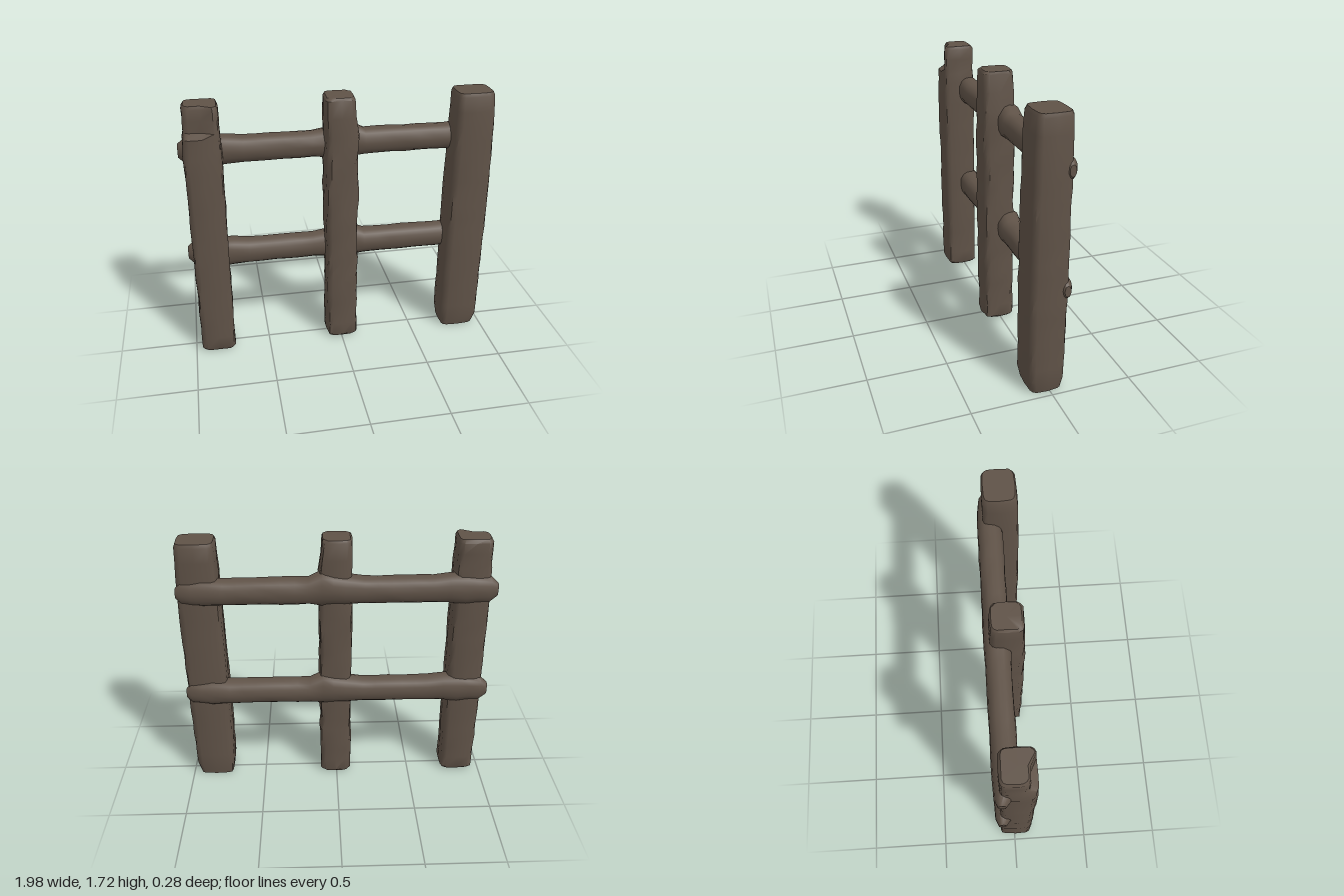
import * as THREE from 'three';
import { toCreasedNormals } from 'three/addons/utils/BufferGeometryUtils.js';

const SIDES = 16;

// Seeded random numbers for the hewn, lumpy surface
function seeded(seed) {
  let s = seed;
  return () => {
    s = (s * 16807) % 2147483647;
    return s / 2147483647;
  };
}

// Adds evenly spaced rings between the given ones: [t, centreU, centreV, halfU, halfV]
function refine(rings, step) {
  const out = [];
  for (let i = 0; i < rings.length - 1; i++) {
    const a = rings[i], b = rings[i + 1];
    const n = Math.max(1, Math.round((b[0] - a[0]) / step));
    for (let k = 0; k < n; k++) out.push(a.map((v, j) => v + (b[j] - v) * (k / n)));
  }
  out.push(rings[rings.length - 1]);
  return out;
}

// Rough log lofted through superellipse rings; place(u, v, t) gives x, y, z
function log(name, material, rings, { power, rough, seed, place }) {
  const rand = seeded(seed);
  const all = refine(rings, 0.085);
  const pos = [], index = [];
  const shape = (c) => Math.sign(c) * Math.pow(Math.abs(c), 2 / power);
  for (const [t, cu, cv, hu, hv] of all) {
    for (let j = 0; j < SIDES; j++) {
      const a = (j / SIDES) * Math.PI * 2;
      const r = 1 - rand() * rough;
      pos.push(...place(cu + hu * r * shape(Math.cos(a)), cv + hv * r * shape(Math.sin(a)), t));
    }
  }
  const last = (all.length - 1) * SIDES;
  const ends = [all[0], all[all.length - 1]];
  for (const [t, cu, cv] of ends) pos.push(...place(cu, cv, t));
  const c0 = all.length * SIDES, c1 = c0 + 1;
  for (let j = 0; j < SIDES; j++) {
    const k = (j + 1) % SIDES;
    for (let i = 0; i < last; i += SIDES) {
      index.push(i + j, i + SIDES + j, i + k, i + k, i + SIDES + j, i + SIDES + k);
    }
    index.push(c0, j, k, c1, last + k, last + j);
  }
  const geo = new THREE.BufferGeometry();
  geo.setAttribute('position', new THREE.Float32BufferAttribute(pos, 3));
  geo.setIndex(index);
  const mesh = new THREE.Mesh(toCreasedNormals(geo, 0.75), material);
  mesh.name = name;
  return mesh;
}

export function createModel() {
  const group = new THREE.Group();
  group.name = 'fence';
  const wood = new THREE.MeshStandardMaterial({ color: 0x5f5247 });
  wood.name = 'weathered wood';

  const upright = (x, y, z) => [x, z, y];
  // Chipped front corner at the top of the right post
  const chipped = (x, y, z) => {
    const cut = z > 1.54 && y > 0.02 && x < -0.83;
    return [x, z, cut ? y - 0.04 : y];
  };

  // Upright posts, squared with worn ends
  group.add(log('rightPost', wood, [
    [0.01, -0.845, 0.01, 0.1, 0.095],
    [0.03, -0.847, 0.01, 0.116, 0.112],
    [0.7, -0.847, 0.01, 0.118, 0.115],
    [1.4, -0.845, 0.01, 0.122, 0.115],
    [1.53, -0.842, 0.01, 0.116, 0.112],
    [1.56, -0.842, 0.01, 0.112, 0.11],
    [1.7, -0.84, 0.008, 0.11, 0.108],
    [1.72, -0.84, 0.008, 0.1, 0.095],
  ], { power: 5, rough: 0.05, seed: 11, place: chipped }));

  group.add(log('middlePost', wood, [
    [0.01, 0.005, 0.005, 0.09, 0.09],
    [0.03, 0.007, 0.005, 0.109, 0.108],
    [0.7, 0.007, 0.005, 0.112, 0.11],
    [1.3, 0.006, 0.005, 0.112, 0.11],
    [1.48, 0.008, 0.005, 0.11, 0.11],
    [1.6, 0, 0.002, 0.101, 0.106],
    [1.71, -0.004, 0, 0.096, 0.104],
    [1.725, -0.004, 0, 0.088, 0.09],
  ], { power: 4.5, rough: 0.1, seed: 29, place: upright }));

  group.add(log('leftPost', wood, [
    [0.01, 0.84, 0.015, 0.118, 0.1],
    [0.09, 0.844, 0.017, 0.134, 0.116],
    [0.6, 0.847, 0.018, 0.137, 0.12],
    [1.3, 0.853, 0.015, 0.135, 0.117],
    [1.5, 0.853, 0.013, 0.131, 0.116],
    [1.69, 0.85, 0.008, 0.123, 0.11],
    [1.712, 0.85, 0.008, 0.114, 0.098],
  ], { power: 5, rough: 0.04, seed: 47, place: upright }));

  // Round rails set into the backs of the posts, swelling at the joints
  const along = (u, v, t) => [t, v, u];
  [['upperRail', 1.397, 5], ['lowerRail', 0.68, 83]].forEach(([name, y, seed]) => {
    group.add(log(name, wood, [
      [-0.995, -0.085, y, 0.025, 0.045],
      [-0.95, -0.075, y, 0.055, 0.085],
      [-0.8, -0.057, y, 0.08, 0.105],
      [-0.7, -0.057, y + 0.005, 0.08, 0.096],
      [-0.6, -0.057, y, 0.08, 0.087],
      [-0.17, -0.057, y, 0.08, 0.086],
      [-0.05, -0.055, y + 0.005, 0.084, 0.1],
      [0.09, -0.055, y + 0.015, 0.084, 0.115],
      [0.17, -0.057, y, 0.08, 0.088],
      [0.7, -0.057, y - 0.003, 0.081, 0.086],
      [0.82, -0.062, y, 0.074, 0.092],
      [0.95, -0.075, y, 0.045, 0.07],
      [0.985, -0.08, y, 0.02, 0.035],
    ], { power: 2.2, rough: 0.06, seed, place: along }));
  });

  return group;
}
